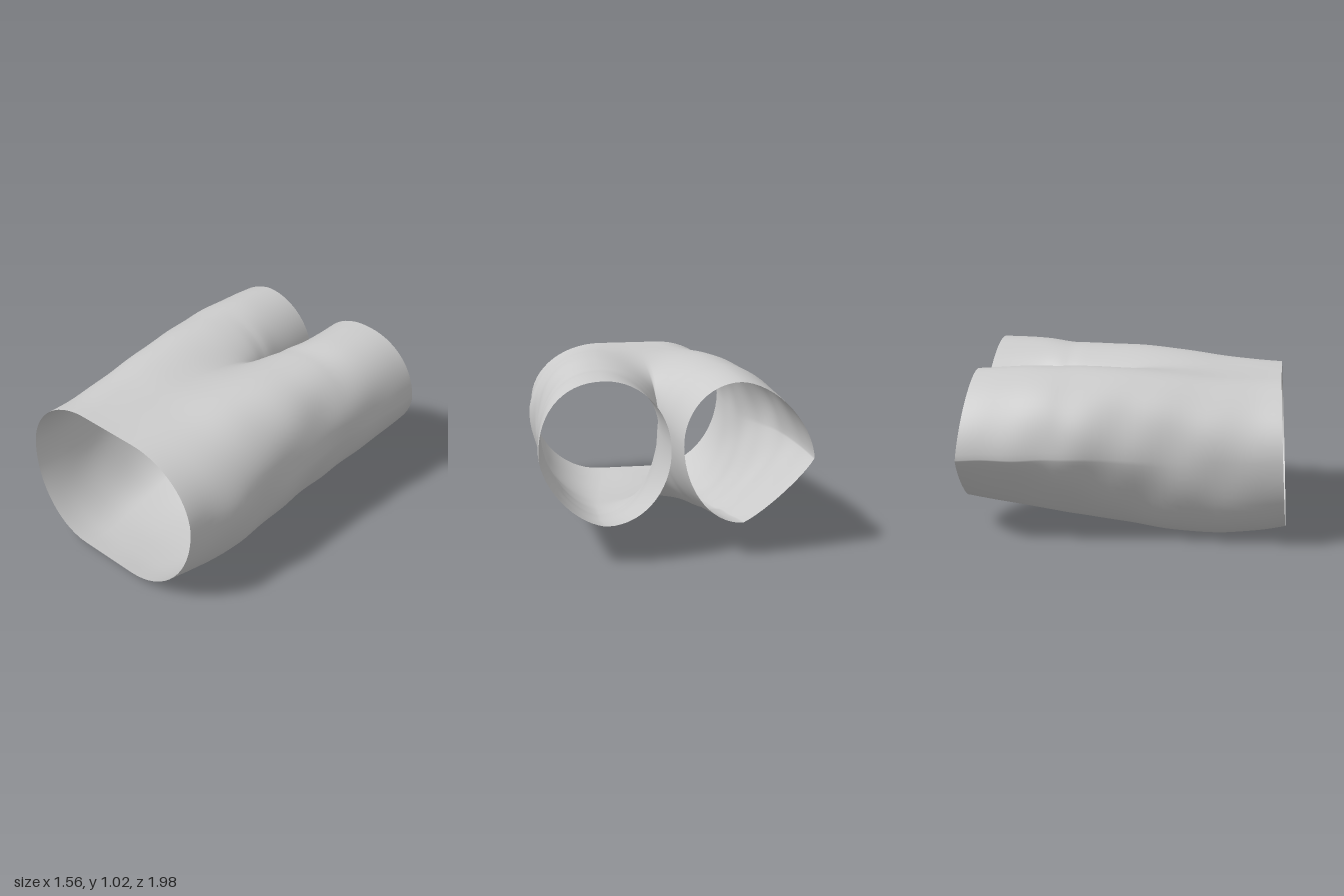
import * as THREE from 'three';
import { mergeGeometries, mergeVertices } from 'three/addons/utils/BufferGeometryUtils.js';

// Cross-section values from the waist (first) to the leg hems (last).
const shared = {
  seamTop: [0.945, 0.945, 0.95, 0.955, 0.94, 0.89, 0.81, 0.70, 0.67, 0.65, 0.64],
  seamLow: [0.045, 0.02, 0.005, 0.03, 0.11, 0.27, 0.47, 0.70, 0.67, 0.65, 0.64],
  round:   [0, 0, 0, 0.05, 0.2, 0.5, 0.8, 1, 1, 1, 1],
};
const left = {
  zTop:    [0.92, 0.77, 0.55, 0.30, 0.05, -0.18, -0.33, -0.43, -0.58, -0.75, -0.89],
  zBottom: [0.98, 0.81, 0.57, 0.30, 0.05, -0.18, -0.33, -0.43, -0.62, -0.84, -1.03],
  top:   [0.945, 0.95, 0.96, 0.985, 1.0, 1.0, 1.0, 1.0, 1.015, 1.02, 1.02],
  low:   [0.045, 0.015, 0, 0.015, 0.05, 0.08, 0.10, 0.12, 0.155, 0.195, 0.23],
  mid:   [0.56, 0.55, 0.54, 0.54, 0.55, 0.57, 0.58, 0.59, 0.60, 0.61, 0.62],
  centre:[0.20, 0.22, 0.27, 0.31, 0.34, 0.36, 0.37, 0.38, 0.40, 0.41, 0.41],
  inner: [0, 0, 0, 0, 0.01, 0.02, 0.025, 0.025, 0.055, 0.055, 0.045],
  outer: [0.67, 0.68, 0.71, 0.70, 0.71, 0.71, 0.72, 0.73, 0.75, 0.77, 0.78],
  powerTop: [1, 1, 1, 0.95, 0.92, 0.9, 0.9, 0.9, 0.9, 0.9, 0.9],
  powerLow: [1, 1, 1.05, 1.08, 1.15, 1.2, 1.2, 1.2, 1.2, 1.2, 1.2],
};
const right = {
  zTop:    [0.92, 0.77, 0.55, 0.30, 0.05, -0.18, -0.33, -0.43, -0.58, -0.75, -0.88],
  zBottom: [0.98, 0.81, 0.57, 0.30, 0.05, -0.18, -0.33, -0.43, -0.61, -0.81, -0.98],
  top:   [0.945, 0.945, 0.955, 0.98, 1.0, 1.01, 1.01, 1.01, 1.01, 1.0, 0.99],
  low:   [0.045, 0.015, 0, 0.015, 0.05, 0.08, 0.10, 0.12, 0.145, 0.175, 0.20],
  mid:   [0.56, 0.55, 0.55, 0.55, 0.56, 0.57, 0.57, 0.57, 0.56, 0.56, 0.55],
  centre:[0.20, 0.22, 0.27, 0.30, 0.32, 0.33, 0.34, 0.35, 0.35, 0.36, 0.36],
  inner: [0, 0, 0, 0, -0.01, -0.02, -0.025, -0.025, 0.0, 0.015, 0.03],
  outer: [0.64, 0.64, 0.645, 0.66, 0.69, 0.73, 0.75, 0.76, 0.77, 0.775, 0.78],
  powerTop: [1, 1, 1, 1, 1, 1.05, 1.08, 1.1, 1.12, 1.15, 1.17],
  powerLow: [1, 1, 1.05, 1.15, 1.35, 1.5, 1.55, 1.6, 1.65, 1.7, 1.7],
};

const ROWS = 11, SUB = 5, COLS = 60;

// Smooth interpolation through a list of values
function sample(list, t) {
  const i = Math.min(Math.floor(t), list.length - 2), f = t - i;
  const at = k => list[THREE.MathUtils.clamp(k, 0, list.length - 1)];
  const a = at(i - 1), b = at(i), c = at(i + 1), d = at(i + 2);
  return b + 0.5 * f * (c - a + f * (2 * a - 5 * b + 4 * c - d + f * (3 * (b - c) + d - a)));
}

// One point of a half section: u runs from the top seam, round the outside, to the lower seam
function sectionPoint(s, u) {
  const { lerp } = THREE.MathUtils;
  if (u <= 0.25 || u >= 0.75) {
    // Inner quarters: a soft valley in the pelvis that becomes a round tube at the crotch
    const k = u <= 0.25 ? 1 - u * 4 : (u - 0.75) * 4;
    const a = k * Math.PI / 2;
    const [edge, seam] = u <= 0.25 ? [s.top, s.seamTop] : [s.low, s.seamLow];
    const across = lerp(k, Math.sin(a), s.round);
    const rise = k === 1 ? 0 : lerp(0.5 + 0.5 * Math.cos(2 * a), Math.cos(a), s.round);
    return [lerp(s.centre, s.inner, across), lerp(seam, edge, rise)];
  }
  // Outer half is a superellipse, pinched where the side is creased
  const a = (0.5 - u) * 2 * Math.PI;
  const upper = a > 0;
  const h = upper ? s.top - s.mid : s.low - s.mid;
  const p = upper ? s.powerTop : s.powerLow;
  return [
    s.centre + (s.outer - s.centre) * Math.pow(Math.cos(a), p),
    s.mid + h * Math.pow(Math.abs(Math.sin(a)), p),
  ];
}

function halfGeometry(side, sign) {
  const pos = [], index = [], n = (ROWS - 1) * SUB;
  const table = { ...shared, ...side };
  for (let i = 0; i <= n; i++) {
    const t = i / SUB, s = {};
    for (const key in table) s[key] = sample(table[key], t);
    // Past the crotch the two seams meet and the section closes into a leg
    if (s.seamTop < s.seamLow || t >= 7) s.seamTop = s.seamLow = (s.seamTop + s.seamLow) / 2;
    for (let j = 0; j <= COLS; j++) {
      const u = j / COLS;
      const [x, y] = sectionPoint(s, u);
      const z = THREE.MathUtils.lerp(s.zBottom, s.zTop, y);
      // Soft cloth folds, fading out at the seam and the openings
      const fade = Math.sin(Math.PI * u) ** 2 * Math.sin(Math.PI * i / n);
      const fold = 0.004 * fade * (Math.sin(9 * z + 14 * y + sign) + Math.sin(17 * z - 8 * y + 2 * sign));
      pos.push(sign * (x + fold), y, z);
      if (i < n && j < COLS) {
        const a = i * (COLS + 1) + j, b = a + 1, c = a + COLS + 1, d = c + 1;
        index.push(...(sign > 0 ? [a, b, c, b, d, c] : [a, c, b, b, c, d]));
      }
    }
  }
  const geo = new THREE.BufferGeometry();
  geo.setAttribute('position', new THREE.Float32BufferAttribute(pos, 3));
  geo.setIndex(index);
  return geo;
}

export function createModel() {
  const group = new THREE.Group();
  group.name = 'shorts';
  // Both halves are welded along the centre seam and the inner legs
  const cloth = mergeVertices(mergeGeometries([halfGeometry(left, 1), halfGeometry(right, -1)]), 1e-4);
  cloth.computeVertexNormals();
  const mesh = new THREE.Mesh(cloth, new THREE.MeshStandardMaterial({
    color: 0xcccccc, side: THREE.DoubleSide,
  }));
  mesh.name = 'shortsCloth';
  group.add(mesh);
  return group;
}
